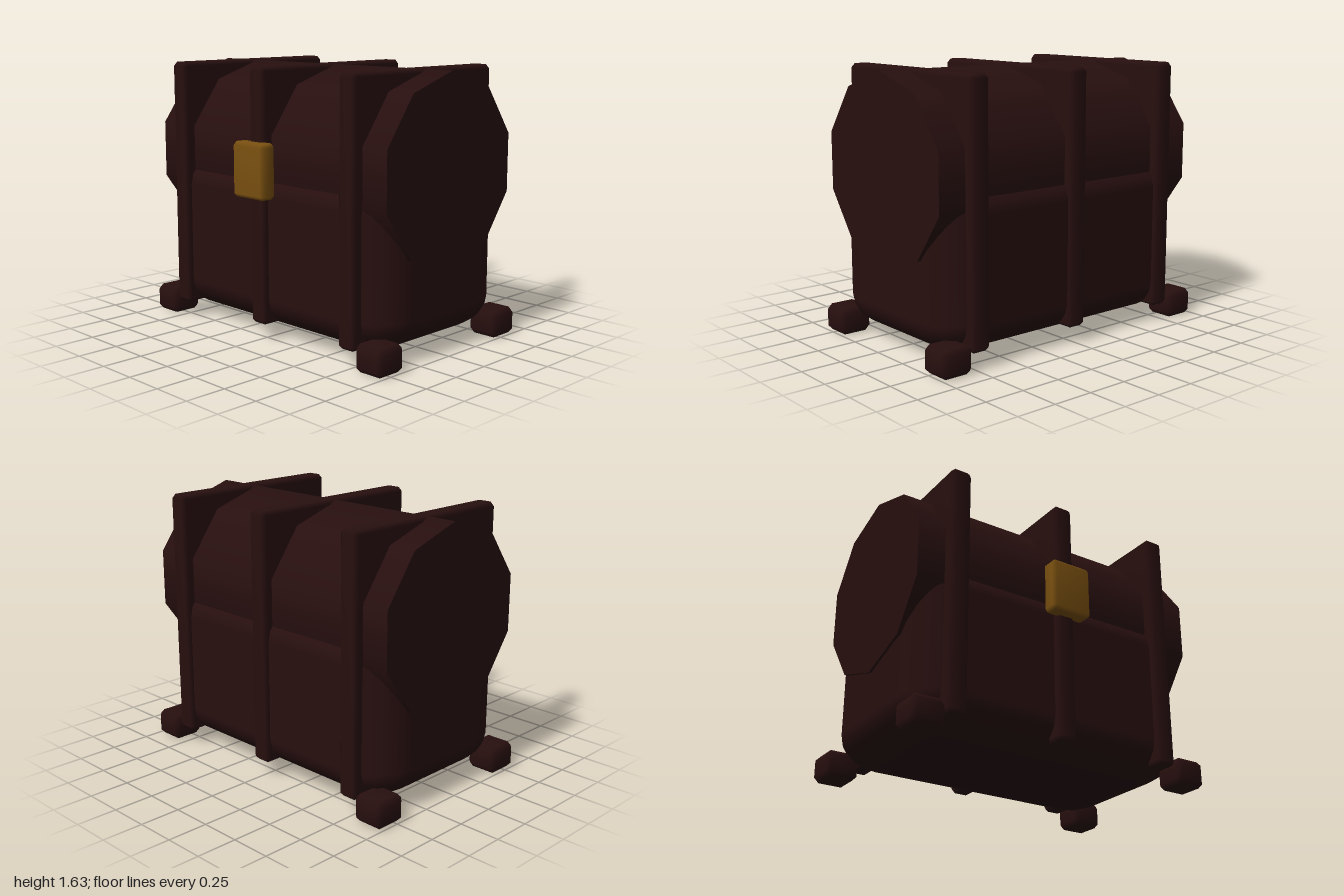
import * as THREE from 'three';
import { mergeVertices } from 'three/addons/utils/BufferGeometryUtils.js';
import { RoundedBoxGeometry } from 'three/addons/geometries/RoundedBoxGeometry.js';
import { ConvexGeometry } from 'three/addons/geometries/ConvexGeometry.js';

const wood = new THREE.MeshStandardMaterial({ name: 'dark wood', color: 0x280f0f });
const brass = new THREE.MeshStandardMaterial({ name: 'brass', color: 0x7a5010 });

// Box with a single chamfer c on every edge and smooth normals
function chamferBox(w, h, d, c) {
  const points = [];
  for (const x of [-1, 1]) for (const y of [-1, 1]) for (const z of [-1, 1])
    for (let k = 0; k < 3; k++) {
      const inset = [c, c, c];
      inset[k] = 0;
      points.push(new THREE.Vector3(
        x * (w / 2 - inset[0]), y * (h / 2 - inset[1]), z * (d / 2 - inset[2])));
    }
  let geo = new ConvexGeometry(points);
  geo.deleteAttribute('normal');
  geo = mergeVertices(geo, 1e-4);
  geo.computeVertexNormals();
  return geo;
}

export function createModel() {
  const group = new THREE.Group();
  group.name = 'chest';
  const add = (name, geo, mat, x, y, z) => {
    const mesh = new THREE.Mesh(geo, mat);
    mesh.name = name;
    mesh.position.set(x, y, z);
    group.add(mesh);
  };
  const midZ = -0.03; // the chest sits back to leave room for the lock

  // Softly rounded lower body, rounding flatter in height
  const rx = 0.28, ry = 0.2;
  const body = new RoundedBoxGeometry(1.9 / rx, 1.016 / ry, 1.14 / rx, 3, 1);
  body.scale(rx, ry, rx);
  add('body', body, wood, 0, 0.56, midZ);

  // Ten-sided barrel lid lying along x
  const lid = new THREE.CylinderGeometry(0.565, 0.565, 1.93, 10, 1, false, Math.PI / 10);
  lid.rotateZ(Math.PI / 2);
  add('lid', lid, wood, 0, 1.065, midZ);

  // Three upright bands
  const band = chamferBox(0.132, 1.535, 1.2, 0.025);
  for (const x of [-0.725, -0.003, 0.722]) add('band', band, wood, x, 0.8675, -0.025);

  // Four corner feet
  const foot = chamferBox(0.205, 0.165, 0.205, 0.03);
  for (const sx of [-1, 1]) for (const sz of [-1, 1])
    add('foot', foot, wood, sx * 0.8975, 0.0825, midZ + sz * 0.5125);

  // Lock plate
  add('lock', chamferBox(0.27, 0.33, 0.11, 0.022), brass, -0.003, 1.035, 0.59);

  return group;
}
